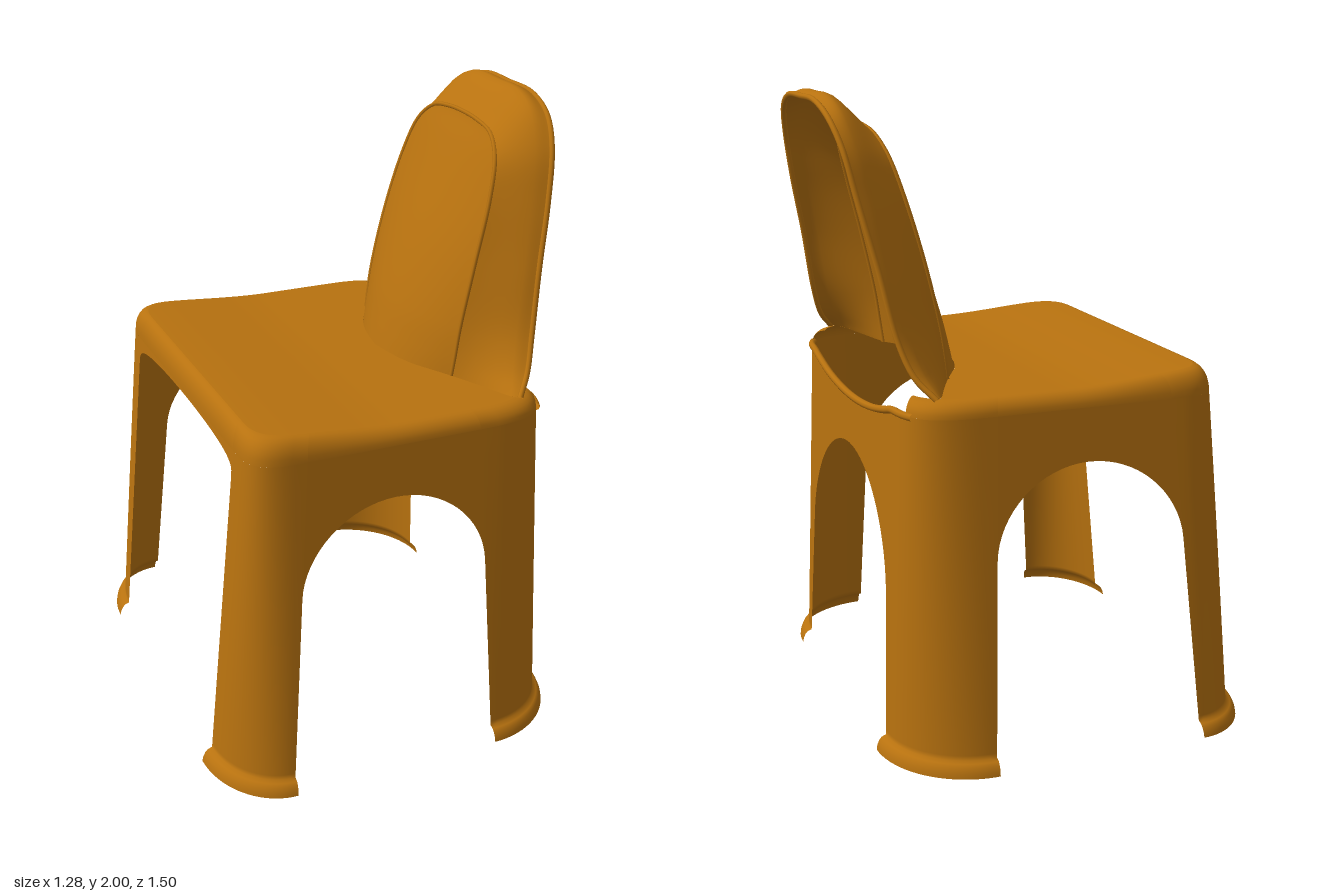
import * as THREE from 'three';

const V = (x, y, z) => new THREE.Vector3(x, y, z);
const lerp = THREE.MathUtils.lerp;
const TOP = 1.09; // height where the skirt starts rolling into the seat

// Surface from a rule giving the point of column i, row j
function sheet(nu, nv, f) {
  const pos = [], idx = [];
  for (let i = 0; i <= nu; i++) {
    for (let j = 0; j <= nv; j++) {
      const p = f(i, j);
      pos.push(p.x, p.y, p.z);
      if (i < nu && j < nv) {
        const a = i * (nv + 1) + j, b = a + nv + 1;
        idx.push(a, a + 1, b, b, a + 1, b + 1);
      }
    }
  }
  const g = new THREE.BufferGeometry();
  g.setAttribute('position', new THREE.Float32BufferAttribute(pos, 3));
  g.setIndex(idx);
  g.computeVertexNormals();
  return g;
}

// Outer faces (X, Z) and inner leg edges (ex, ez) at height y, with the flared foot
function plan(rear, y) {
  const flare = y < 0.045 ? 0.03 * Math.sqrt(1 - (y / 0.045) ** 2) : 0;
  const Z = 0.722 - 0.084 * y + flare;
  return rear
    ? { X: 0.537 - 0.038 * y + flare, ex: 0.27 - 0.035 * y, ez: 0.45 - 0.065 * y, Z }
    : { X: -0.615 + 0.095 * y - flare, ex: -0.425 + 0.08 * y, ez: 0.47, Z };
}

// Rounded corner: a = 0 on the side, PI / 2 on the front or rear
function corner(rear, s, a, y) {
  const e = plan(rear, y), p = 1 - 0.4 * Math.min(1, y / 1.1);
  const x = lerp(e.ex, e.X, Math.max(0, Math.sin(a)) ** p);
  const z = lerp(e.ez, e.Z, Math.max(0, Math.cos(a)) ** p);
  return V(x, y, s * z);
}
const sidePoint = (s, t, y) => V(lerp(plan(false, y).ex, plan(true, y).ex, t), y, s * plan(true, y).Z);
const rearTop = (z) => Math.min(TOP, 1.03 + 0.1 * (z / 0.57) ** 2);

// Seat edge: quarter roll from the skirt, rising at the front lip
const lip = (x) => 0.03 * (1 - THREE.MathUtils.smoothstep(x, -0.5, 0));
function roll(p, a) {
  const k = 1 - 0.075 * (1 - Math.cos(a));
  return V(p.x * k, TOP + (0.05 + lip(p.x * k)) * Math.sin(a), p.z * k);
}

// Seat outline on one side, front to rear
function seatEdge(s) {
  const pts = [];
  for (let i = 0; i <= 14; i++) pts.push(corner(false, s, (1 - i / 14) * Math.PI / 2, TOP));
  for (let i = 1; i <= 40; i++) pts.push(sidePoint(s, (1 - Math.cos(i / 40 * Math.PI)) / 2, TOP));
  for (let i = 1; i <= 12; i++) pts.push(corner(true, s, i / 12 * 1.15, TOP));
  return pts;
}

// Half width of the opening behind the backrest
function opening(x) {
  if (x < 0.17) return 0;
  return x < 0.28 ? 0.33 * Math.sqrt((x - 0.17) / 0.11) : 0.33 + 2.2 * (x - 0.28);
}

// Symmetrical arch from one half: foot to crown
function arch(half) {
  const left = half.map((p) => V(...p));
  const right = half.slice(0, -1).reverse().map((p) => V(p[0], p[1], -p[2]));
  return new THREE.CatmullRomCurve3([...left, ...right], false, 'centripetal');
}

export function createModel() {
  const group = new THREE.Group();
  const plastic = new THREE.MeshStandardMaterial({ color: 0xb8720f, side: THREE.DoubleSide });
  plastic.name = 'amber plastic';
  const add = (name, geo) => {
    const m = new THREE.Mesh(geo, plastic);
    m.name = name;
    group.add(m);
  };

  // Legs, side skirts and seat, mirrored left and right
  const heights = [TOP, 1, 0.8, 0.6, 0.4, 0.2, 0.06, 0.045, 0.04, 0.03, 0.015, 0];
  for (const s of [1, -1]) {
    const side = s > 0 ? 'left' : 'right';
    for (const rear of [false, true]) {
      add(side + (rear ? 'RearLeg' : 'FrontLeg'), sheet(20, heights.length - 1, (i, j) => {
        const a = i / 20 * Math.PI / 2, c = corner(rear, s, a, TOP);
        const top = rear && c.x > 0.35 ? rearTop(c.z) : TOP;
        return corner(rear, s, a, Math.min(top, heights[j]));
      }));
    }
    add(side + 'Skirt', sheet(32, 8, (i, j) => {
      const th = i / 32 * Math.PI;
      return sidePoint(s, (1 - Math.cos(th)) / 2, lerp(TOP, 0.65 + 0.275 * Math.sin(th), j / 8));
    }));
    const edge = seatEdge(s);
    add(side + 'SeatEdge', sheet(edge.length - 1, 6, (i, j) => roll(edge[i], j / 6 * Math.PI / 2)));
    add(side + 'Seat', sheet(edge.length - 1, 8, (i, j) => {
      const p = roll(edge[i], Math.PI / 2), z = Math.abs(p.z);
      return V(p.x, p.y, s * lerp(Math.min(opening(p.x), z), z, j / 8));
    }));
  }

  // Front lip and shallow front skirt
  const front = plan(false, TOP);
  add('frontSeatEdge', sheet(8, 6, (i, j) => roll(V(front.X, TOP, lerp(-front.ez, front.ez, i / 8)), j / 6 * Math.PI / 2)));
  add('frontSkirt', sheet(32, 2, (i, j) => {
    const th = i / 32 * Math.PI, y = lerp(TOP, 1.0 + 0.08 * Math.sin(th) ** 0.5, j / 2);
    return V(plan(false, y).X, y, -Math.cos(th) * front.ez);
  }));

  // Rear skirt with arch below and dipped rim above
  add('rearSkirt', sheet(40, 8, (i, j) => {
    const th = i / 40 * Math.PI, c = -Math.cos(th);
    const y = lerp(rearTop(c * 0.38), 0.5 + 0.37 * Math.sin(th), j / 8);
    const e = plan(true, y);
    return V(e.X, y, c * e.ez);
  }));
  const rim = [];
  for (let i = 0; i <= 8; i++) {
    const p = corner(true, 1, 1 + i / 8 * (Math.PI / 2 - 1), TOP);
    rim.push([p.x, rearTop(p.z), p.z]);
  }
  for (const z of [0.25, 0.12, 0]) rim.push([plan(true, 1.05).X, rearTop(z), z]);
  add('rearRim', new THREE.TubeGeometry(arch(rim), 80, 0.012, 8));

  // Backrest: rear rim, rounded shoulder and panel outline
  const rearRim = arch([[0.40, 1.14, 0.57], [0.45, 1.2, 0.52], [0.485, 1.3, 0.475], [0.525, 1.5, 0.43],
    [0.57, 1.7, 0.385], [0.60, 1.85, 0.34], [0.62, 1.935, 0.27], [0.63, 1.98, 0.16], [0.63, 1.985, 0]]);
  const shoulder = arch([[0.38, 1.14, 0.55], [0.41, 1.2, 0.5], [0.44, 1.3, 0.455], [0.48, 1.5, 0.415],
    [0.52, 1.7, 0.37], [0.55, 1.85, 0.325], [0.57, 1.95, 0.25], [0.58, 1.995, 0.15], [0.58, 2.0, 0]]);
  const outline = arch([[0.28, 1.12, 0.33], [0.29, 1.2, 0.335], [0.305, 1.3, 0.335], [0.35, 1.5, 0.33],
    [0.405, 1.7, 0.31], [0.44, 1.82, 0.27], [0.46, 1.88, 0.2], [0.465, 1.9, 0.1], [0.465, 1.905, 0]]);
  const N = 96;
  const [ra, sh, ou] = [rearRim, shoulder, outline].map((c) => c.getPoints(N));
  add('backrestShell', sheet(N, 12, (i, j) =>
    new THREE.CatmullRomCurve3([ra[i], sh[i], ou[i]]).getPoint(j / 12)));
  add('backrestRim', new THREE.TubeGeometry(rearRim, N, 0.009, 8));

  // Panel bulges forward toward the seat
  add('backrestPanel', sheet(N / 2, 20, (i, j) => {
    const p = ou[i], t = j / 10 - 1;
    const bulge = 0.11 * Math.max(0, 1 - (p.y - 1.12) / 0.78);
    return V(p.x - bulge * (1 - t * t), p.y, p.z * t);
  }));
  add('panelSeam', new THREE.TubeGeometry(outline, N, 0.007, 6));

  return group;
}
